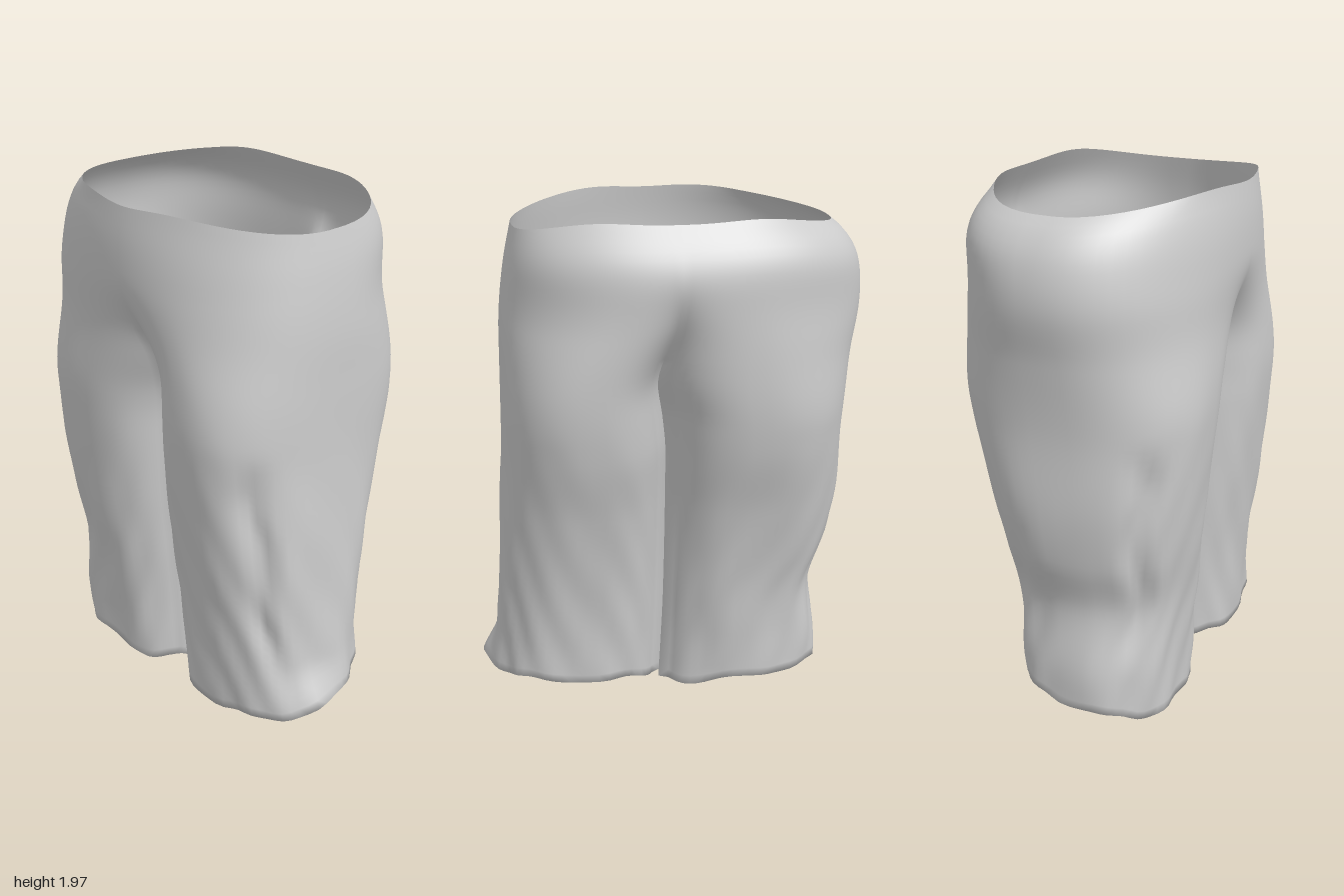
import * as THREE from 'three';
import { mergeGeometries, mergeVertices } from 'three/addons/utils/BufferGeometryUtils.js';

const lerp = THREE.MathUtils.lerp;
const step = THREE.MathUtils.smoothstep;
const pow = (v, e) => Math.sign(v) * Math.pow(Math.abs(v), e);
const bump = (v, centre, width) => Math.exp(-Math.pow((v - centre) / width, 2));

// Smooth interpolation through [height, value] pairs, lowest first
function profile(points) {
  return y => {
    const n = points.length - 1;
    if (y <= points[0][0]) return points[0][1];
    if (y >= points[n][0]) return points[n][1];
    let i = 0;
    while (y > points[i + 1][0]) i++;
    const slope = k => {
      const a = points[Math.max(k - 1, 0)], b = points[Math.min(k + 1, n)];
      return (b[1] - a[1]) / (b[0] - a[0]);
    };
    const [y0, v0] = points[i], [y1, v1] = points[i + 1];
    const h = y1 - y0, t = (y - y0) / h, u = 1 - t;
    return v0 * (1 + 2 * t) * u * u + slope(i) * h * t * u * u
      + v1 * t * t * (3 - 2 * t) - slope(i + 1) * h * t * t * u;
  };
}

// Silhouette of the garment
const outerRight = profile([[0.1, 0.645], [0.25, 0.64], [0.5, 0.605], [0.7, 0.66], [0.9, 0.685],
  [1.2, 0.68], [1.45, 0.705], [1.65, 0.74], [1.8, 0.72], [1.9, 0.66], [1.97, 0.57]]);
const outerLeft = profile([[0.1, 0.68], [0.2, 0.67], [0.35, 0.655], [0.8, 0.63], [1.1, 0.61],
  [1.4, 0.605], [1.6, 0.60], [1.8, 0.575], [1.97, 0.535]]);
const front = profile([[0, 0.35], [0.4, 0.37], [0.8, 0.42], [1.2, 0.46], [1.5, 0.465],
  [1.7, 0.478], [1.85, 0.475], [2, 0.455]]);
const back = profile([[0.15, -0.235], [0.35, -0.25], [0.6, -0.285], [0.9, -0.35], [1.15, -0.42],
  [1.4, -0.46], [1.7, -0.48], [1.85, -0.465], [2, -0.38]]);
const middle = profile([[0, 0.03], [0.5, 0.01], [1.1, 0.015], [1.25, 0.03], [1.42, 0.055], [1.65, 0.01], [2, 0]]);

const OUT = 52, IN = 14, COLS = OUT + IN, HIP = 18, LEG = 40, LINING = 2;
const CREASE = 2.72; // angle on a leg where it meets the other leg

// One half of the garment: s = 1 is the left half, s = -1 the right
function half(s) {
  const verts = [], index = [];

  function point(r, j) {
    const inner = j >= OUT || j === 0;
    const u = j <= OUT ? j / OUT : 1 - (j - OUT) / IN; // 0 back, 1 front
    const b = j <= OUT ? lerp(-CREASE, CREASE, u) : CREASE + (j - OUT) / IN * 2 * (Math.PI - CREASE);
    const flat = (u - 0.5) * Math.PI;
    const a = flat + 0.33 * Math.sin(2 * flat); // hip angle, keeps the fullest parts of hip and leg aligned
    const outward = Math.cos(b), forward = Math.sin(b);

    // Height: wavy waist, fork sloping to the back, slanted hem
    const waist = 2.0 - 0.065 * Math.pow(Math.cos(a), 2) - 0.02 * Math.pow(Math.sin(a), 20);
    const fork = lerp(1.5, 1.39, u);
    const hem = (s > 0 ? 0.13 : 0.085) - 0.055 * forward + 0.03 * outward
      + 0.01 * Math.sin(b * 6 + s);
    const t = Math.min((r - HIP) / LEG, 1);
    let y = r <= HIP ? lerp(waist, fork, r / HIP) : lerp(fork, hem, t);

    // Section: half of the hip ring, easing into a rounded leg ring
    const c = middle(y), zf = front(y), zb = back(y);
    const w = s > 0 ? outerLeft(y) - c : outerRight(y) + c;
    const zc = (zf + zb) / 2, dz = (zf - zb) / 2;
    const rise = 0.1 * (1 - u);
    const k = 1 - step(y, 1.15 + rise, 1.72 + rise);
    const top = step(y, 1.6, 1.95);
    const e = a > 0 ? lerp(0.92, 1.02, top) : lerp(0.92, 0.75, top);
    const hipX = w * pow(Math.cos(a), e);
    const hipZ = j <= OUT ? pow(Math.sin(a), e) : 2 * u - 1;
    const round = outward > 0 ? 0.86 : 0.74;
    let x = lerp(hipX, w / 2 + w / 2 * pow(outward, round), k);
    let z = zc + dz * lerp(hipZ, pow(forward, 0.8), k);
    // Inner walls meet at the creases and hollow out between them
    if (inner) x = r <= HIP ? 0 : 0.045 * Math.sin(u * Math.PI) * step(t, 0, 0.12);

    // Shallow cloth folds on the outside, and a sunken side crease
    const low = j <= OUT ? step(1.45 - y, 0, 1.3) * step(outward, -0.9, -0.4) : 0;
    const fold = low * (0.006 * Math.sin(b * 7 + y * 5 + s) + 0.004 * Math.sin(b * 13 - y * 17 + 2 * s));
    const groove = 0.035 * step(y, 0.25, 0.5) * (1 - step(y, 1.0, 1.2))
      * bump(b, 0.75 + 0.05 * Math.sin(y * 14), 0.14);
    // Flared outer corner of the left hem
    const flare = s > 0 ? 0.055 * (1 - step(y, 0.12, 0.32)) * bump(b, 0.25, 0.4) : 0;
    const shift = fold - groove + flare;
    x += shift * outward;
    z += shift * forward;

    // Hem turned inward, deepest at the front of the left leg
    const turn = Math.max(r - HIP - LEG, 0);
    const pull = turn * (0.035 + (s > 0 ? 0.2 * Math.max(0, forward) : 0.01));
    x = lerp(x, w / 2, turn * 0.04);
    z = lerp(z, zc, pull);
    y += turn * (0.018 + 0.01 * Math.sin(b * 9));
    return [c + s * x, y, z];
  }

  const rows = HIP + LEG + LINING;
  for (let r = 0; r <= rows; r++)
    for (let j = 0; j < COLS; j++) verts.push(...point(r, j));

  // Hips use the outer columns only; legs are closed rings
  for (let r = 0; r < rows; r++)
    for (let j = 0; j < (r < HIP ? OUT : COLS); j++) {
      const p = r * COLS + j, q = r * COLS + (j + 1) % COLS;
      const p2 = p + COLS, q2 = q + COLS;
      if (s > 0) index.push(p, q, p2, q, q2, p2);
      else index.push(p, p2, q, q, p2, q2);
    }
  const g = new THREE.BufferGeometry();
  g.setAttribute('position', new THREE.Float32BufferAttribute(verts, 3));
  g.setIndex(index);
  return g;
}

export function createModel() {
  const group = new THREE.Group();
  group.name = 'trousers';
  // Both halves welded along the centre seam
  const cloth = mergeVertices(mergeGeometries([half(1), half(-1)]), 1e-4);
  cloth.computeVertexNormals();
  const mesh = new THREE.Mesh(cloth, new THREE.MeshStandardMaterial({
    color: 0xcccccc, side: THREE.DoubleSide }));
  mesh.name = 'trouserCloth';
  group.add(mesh);
  return group;
}
